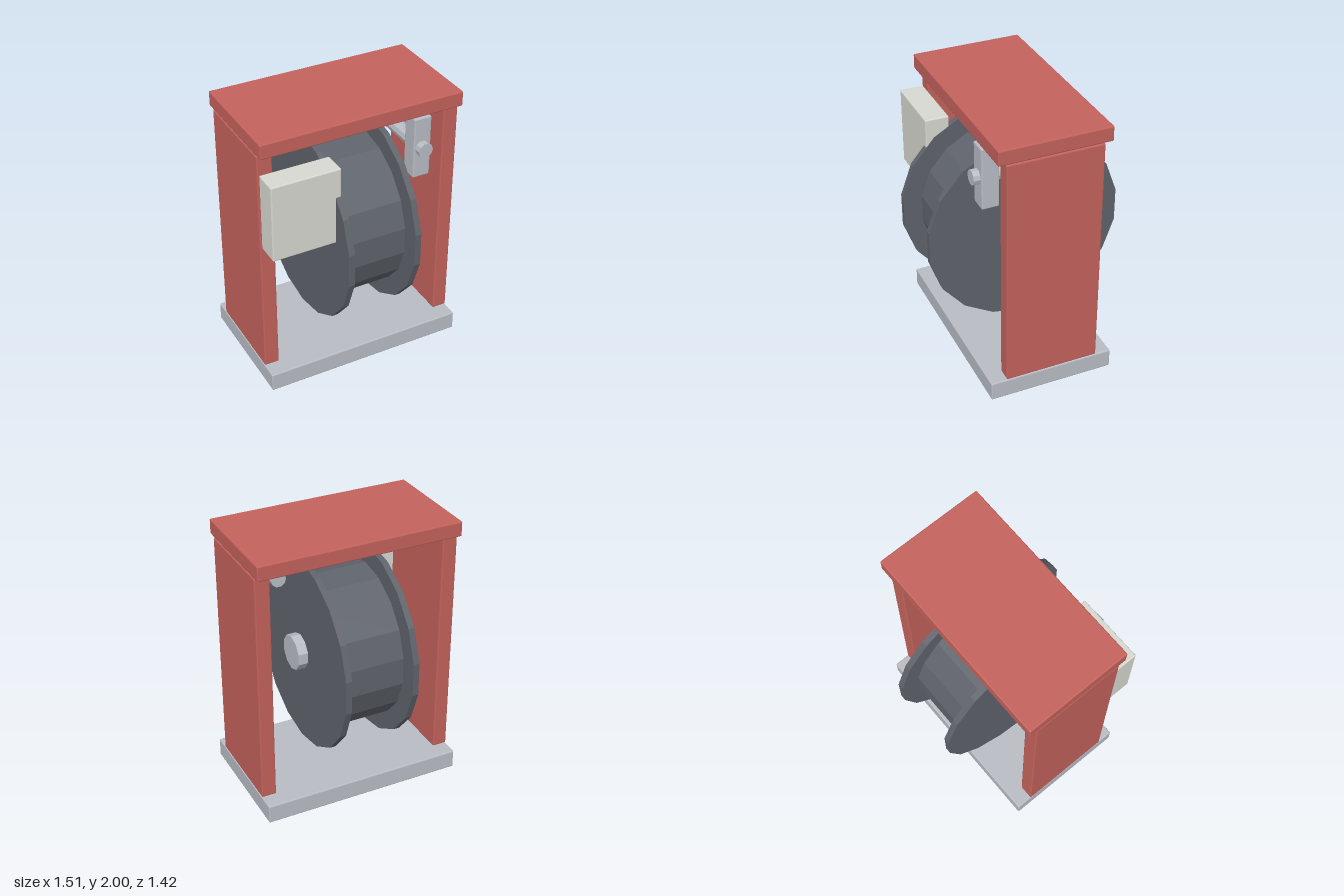
import * as THREE from 'three';
import { RoundedBoxGeometry } from 'three/addons/geometries/RoundedBoxGeometry.js';

const paint = (color) => new THREE.MeshStandardMaterial({ color, flatShading: true });

export function createModel() {
  const model = new THREE.Group();
  model.name = 'winchDrum';
  const red = paint(0xc4625c);
  const steel = paint(0xb9bdc4);
  const iron = paint(0x5f636b);
  const cream = paint(0xd8d9d1);

  const add = (name, geometry, material, x, y, z) => {
    const mesh = new THREE.Mesh(geometry, material);
    mesh.name = name;
    mesh.position.set(x, y, z);
    model.add(mesh);
    return mesh;
  };

  // Box with a thin chamfer, given by its extents on each axis
  const block = (name, material, [x0, x1], [y0, y1], [z0, z1]) =>
    add(name, new RoundedBoxGeometry(x1 - x0, y1 - y0, z1 - z0, 1, 0.008), material,
      (x0 + x1) / 2, (y0 + y1) / 2, (z0 + z1) / 2);

  // Faceted cylinder, turned half a facet
  const cylinder = (radius, length, sides) =>
    new THREE.CylinderGeometry(radius, radius, length, sides, 1, false, Math.PI / sides);

  // Frame
  block('base', steel, [-0.755, 0.755], [0, 0.14], [-0.465, 0.465]);
  block('topPlate', red, [-0.755, 0.755], [1.89, 2], [-0.405, 0.405]);
  block('leftPost', red, [0.645, 0.755], [0.145, 1.885], [-0.347, 0.347]);
  block('rightPost', red, [-0.755, -0.645], [0.145, 1.885], [-0.347, 0.347]);

  // Drum, its two flanges and the axle, all along x
  const axisY = 1.05;
  const turned = (name, material, radius, length, sides, x) =>
    add(name, cylinder(radius, length, sides).rotateZ(Math.PI / 2), material, x, axisY, 0);
  turned('drum', iron, 0.58, 0.48, 18, 0);
  turned('leftFlange', iron, 0.72, 0.045, 18, 0.255);
  turned('rightFlange', iron, 0.72, 0.045, 18, -0.255);
  turned('axle', steel, 0.13, 0.70, 10, 0);

  // Control box on the front of the right post
  block('controlBox', cream, [-0.742, -0.235], [1.17, 1.745], [0.347, 0.522]);

  // Hanging bracket with a pin running back through it
  block('bracket', steel, [0.375, 0.505], [1.428, 1.885], [0.29, 0.416]);
  add('bracketPin', cylinder(0.055, 0.485, 10).rotateX(Math.PI / 2), steel, 0.44, 1.655, 0.2225);

  return model;
}
